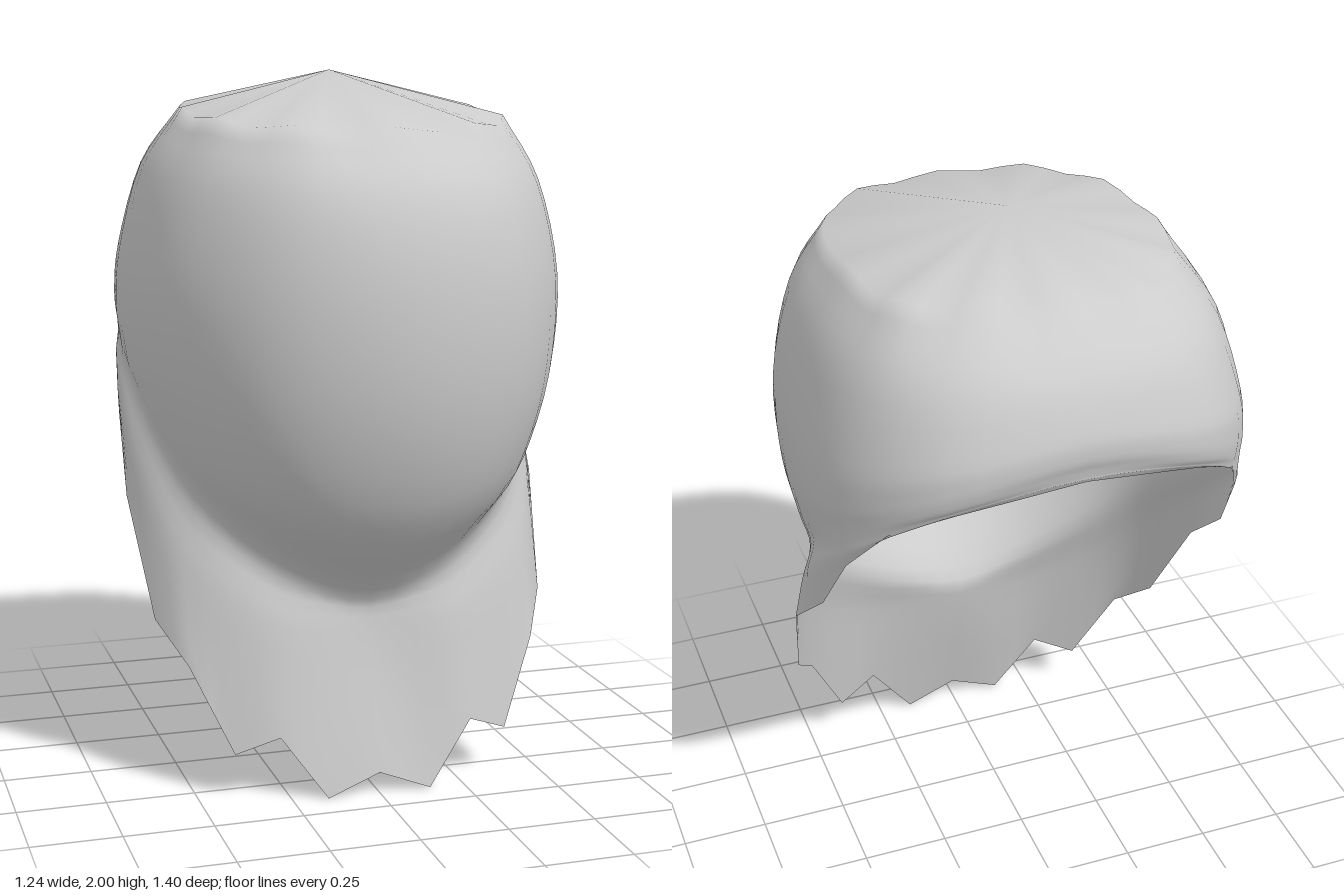
import * as THREE from 'three';

const COLUMNS = 48; // around the shell
const STEPS = 4;    // rows between neighbouring rings

// Half rings from the front centre, round the left side, to the back centre
const SHELL_RINGS = [
  // shoulder of the crown
  [[0, 1.85, .48], [.25, 1.855, .43], [.41, 1.87, .22], [.43, 1.89, -.1], [.37, 1.9, -.34], [.2, 1.905, -.44], [0, 1.91, -.45]],
  // upper bulge
  [[0, 1.68, .635], [.3, 1.68, .55], [.5, 1.7, .27], [.54, 1.72, -.08], [.48, 1.74, -.4], [.29, 1.77, -.58], [0, 1.78, -.62]],
  // widest part
  [[0, 1.42, .7], [.33, 1.42, .6], [.55, 1.44, .3], [.6, 1.46, -.06], [.55, 1.52, -.42], [.35, 1.6, -.64], [0, 1.65, -.69]],
  // lower bulge
  [[0, 1.1, .68], [.33, 1.12, .58], [.54, 1.18, .29], [.605, 1.27, -.05], [.57, 1.39, -.41], [.36, 1.52, -.65], [0, 1.58, -.7]],
  // underside
  [[0, .8, .56], [.28, .85, .5], [.49, .96, .26], [.585, 1.14, -.06], [.565, 1.32, -.41], [.36, 1.47, -.645], [0, 1.54, -.69]],
  // pinched waist
  [[0, .57, .33], [.25, .65, .3], [.47, .83, .17], [.57, 1.06, -.08], [.565, 1.27, -.41], [.355, 1.45, -.635], [0, 1.515, -.685]],
  // middle of the hanging skirt
  [[0, .44, .31], [.26, .48, .32], [.5, .64, .19], [.6, .95, -.08], [.565, 1.24, -.415], [.345, 1.445, -.635], [0, 1.51, -.685]],
];

// Ragged lower edge
const RIM = [[0, .06, .4], [.15, 0, .4], [.28, .18, .37], [.4, .13, .33], [.51, .37, .25], [.58, .48, .13], [.62, .8, -.05],
  [.595, 1, -.28], [.56, 1.2, -.41], [.48, 1.36, -.54], [.33, 1.44, -.63], [.17, 1.48, -.67], [0, 1.5, -.68]];

// Mirror a half ring into a closed one
function fullRing(half) {
  const left = half.map(p => new THREE.Vector3(...p));
  const right = left.slice(1, -1).reverse().map(p => new THREE.Vector3(-p.x, p.y, p.z));
  return [...left, ...right];
}

function smoothRing(half) {
  const curve = new THREE.CatmullRomCurve3(fullRing(half), true, 'catmullrom', 0.5);
  return Array.from({ length: COLUMNS }, (_, j) => curve.getPoint(j / COLUMNS));
}

function jaggedRing(half) {
  const points = fullRing(half);
  return Array.from({ length: COLUMNS }, (_, j) => {
    const t = j * points.length / COLUMNS, k = Math.floor(t);
    return points[k].clone().lerp(points[(k + 1) % points.length], t - k);
  });
}

function shellGeometry() {
  const rings = [...SHELL_RINGS.map(smoothRing), jaggedRing(RIM)];
  // Slight radial pleats where the crown gathers
  rings[0].forEach((p, j) => { p.y += 0.008 * Math.cos(j * Math.PI / 2); });

  const rows = (rings.length - 1) * STEPS;
  const columns = Array.from({ length: COLUMNS }, (_, j) =>
    new THREE.CatmullRomCurve3(rings.map(r => r[j]), false, 'catmullrom', 0.5).getPoints(rows));

  const positions = [0, 2, -.1];
  const indices = [];
  const id = (i, j) => 1 + i * COLUMNS + j % COLUMNS;
  for (let i = 0; i <= rows; i++) {
    for (let j = 0; j < COLUMNS; j++) {
      positions.push(...columns[j][i].toArray());
      if (i === 0) indices.push(0, id(0, j), id(0, j + 1));
      if (i < rows) {
        const a = id(i, j), b = id(i + 1, j), c = id(i + 1, j + 1), d = id(i, j + 1);
        indices.push(a, b, c, a, c, d);
      }
    }
  }
  const geometry = new THREE.BufferGeometry();
  geometry.setAttribute('position', new THREE.Float32BufferAttribute(positions, 3));
  geometry.setIndex(indices);
  geometry.computeVertexNormals();
  return geometry;
}

export function createModel() {
  const material = new THREE.MeshStandardMaterial({ color: 0xcccccc, side: THREE.DoubleSide });
  material.name = 'light grey';
  const shell = new THREE.Mesh(shellGeometry(), material);
  shell.name = 'hairShell';
  const model = new THREE.Group();
  model.name = 'hair';
  model.add(shell);
  return model;
}
